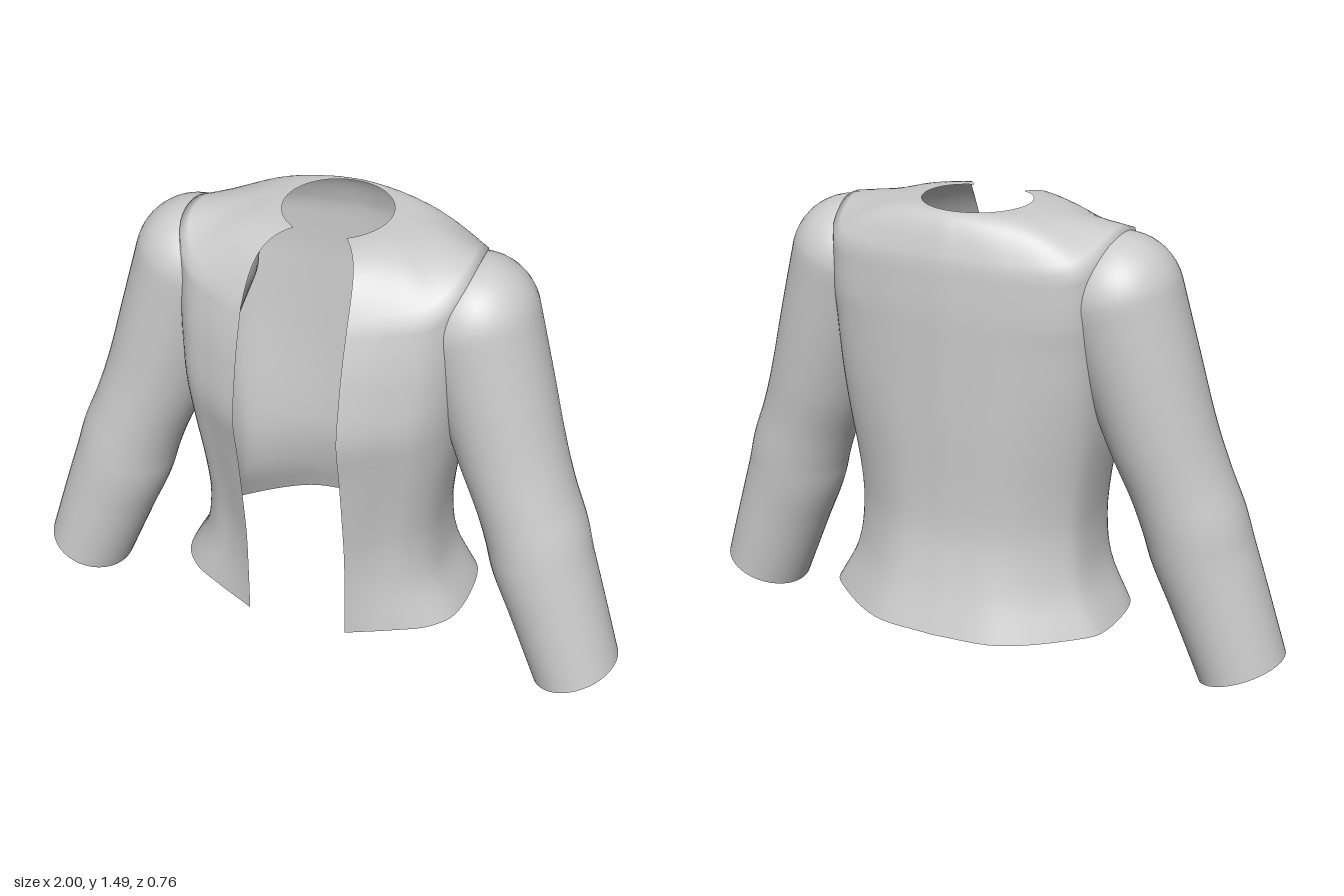
import * as THREE from 'three';
import { mergeVertices } from 'three/addons/utils/BufferGeometryUtils.js';

const V = (x, y, z) => new THREE.Vector3(x, y, z);
const cloth = new THREE.MeshStandardMaterial({ color: 0xcccccc, side: THREE.DoubleSide });

// Skin a grid of points: rows[j][i]
function skin(rows, name) {
  const n = rows[0].length, index = [];
  for (let j = 0; j < rows.length - 1; j++) {
    for (let i = 0; i < n - 1; i++) {
      const a = j * n + i, b = a + n;
      index.push(a, b, a + 1, a + 1, b, b + 1);
    }
  }
  let geo = new THREE.BufferGeometry().setFromPoints(rows.flat());
  geo.setIndex(index);
  geo = mergeVertices(geo, 1e-4);
  geo.computeVertexNormals();
  const mesh = new THREE.Mesh(geo, cloth);
  mesh.name = name;
  return mesh;
}

// Half outline seen from above, from back centre (u = 0) to front opening edge (u = 1)
function outline(w, b, f, k) {
  return new THREE.CatmullRomCurve3([
    V(0, 0, -b), V(0.46 * w, 0, -0.93 * b), V(0.87 * w, 0, -k * b), V(w, 0, -0.3 * b),
    V(w, 0, 0.27 * f), V(0.87 * w, 0, 0.6 * f), V(0.64 * w, 0, 0.8 * f), V(0.165, 0, f),
  ], false, 'catmullrom', 0.5);
}

function torso() {
  // height, half width, back depth, front depth, back squareness
  const sections = [
    [0.16, 0.475, 0.378, 0.3, 0.56], [0.3, 0.405, 0.33, 0.302, 0.58],
    [0.45, 0.385, 0.297, 0.307, 0.6], [0.6, 0.395, 0.293, 0.325, 0.62],
    [0.8, 0.425, 0.3, 0.355, 0.66], [0.95, 0.44, 0.304, 0.38, 0.7],
    [1.1, 0.45, 0.308, 0.357, 0.72], [1.2, 0.455, 0.31, 0.333, 0.74],
    [1.33, 0.455, 0.305, 0.298, 0.74],
  ].map(([y, w, b, f, k]) => ({ y, curve: outline(w, b, f, k) }));
  const last = sections.length - 1, N = 42, wallSteps = 32, roofSteps = 12;
  const rows = Array.from({ length: wallSteps + roofSteps + 1 }, () => []);

  for (let i = -N; i <= N; i++) {
    const u = Math.abs(i) / N, side = i < 0 ? -1 : 1;
    const shoulder = Math.exp(-(((u - 0.5) / 0.17) ** 2));
    const base = 1.345 - 0.04 * u;
    const rim = base + (1.435 - base) * shoulder;

    // Walls from hem to shoulder line
    const pts = sections.map(({ y, curve }, j) => {
      const p = curve.getPoint(u);
      p.y = j === last ? rim : j === 0 ? y - 0.015 * u ** 4 : y;
      return p;
    });
    const wall = new THREE.CatmullRomCurve3(pts, false, 'catmullrom', 0.5);
    const column = wall.getPoints(wallSteps);

    // Rounded yoke running in to the round neckline
    const ang = u * 2.62, neck = V(0.168 * Math.sin(ang), 1.488 - 0.008 * u ** 4, -0.055 - 0.168 * Math.cos(ang));
    const edge = pts[last];
    for (let j = 1; j <= roofSteps; j++) {
      const t = j / roofSteps, p = edge.clone().lerp(neck, t);
      p.x += 0.02 * u ** 8 * Math.sin(Math.PI * t);
      p.y = rim + (neck.y - rim) * (1 - (1 - t) ** (2.4 - 1.1 * shoulder));
      column.push(p);
    }
    column.forEach((p, j) => rows[j].push(V(p.x * side, p.y, p.z)));
  }
  return skin(rows, 'jacketBody');
}

function sleeve(side) {
  // Axis points with radius across and radius in depth
  const stations = [
    [0.455, 1.24, -0.022, 0.19, 0.198], [0.525, 1.02, -0.01, 0.18, 0.188],
    [0.597, 0.8, 0.005, 0.168, 0.176], [0.655, 0.65, 0.02, 0.16, 0.169],
    [0.7, 0.53, 0.03, 0.163, 0.168], [0.726, 0.44, 0.037, 0.163, 0.166],
    [0.778, 0.3, 0.045, 0.155, 0.16], [0.868, 0.05, 0.057, 0.1416, 0.153],
  ];
  const axis = new THREE.CatmullRomCurve3(stations.map(([x, y, z]) => V(x, y, z)));
  const radii = new THREE.CatmullRomCurve3(stations.map((s, i) => V(s[3], s[4], i * 0.1)), false, 'catmullrom', 0.5);
  const rows = [], M = 40;
  const ring = (c, d, rx, rz) => {
    const len = Math.hypot(d.x, d.y), nx = -d.y / len, ny = d.x / len;
    rows.push(Array.from({ length: M + 1 }, (_, i) => {
      const a = -side * (i % M) / M * Math.PI * 2, q = rx * Math.cos(a);
      return V(side * (c.x + nx * q), c.y + ny * q, c.z + rz * Math.sin(a));
    }));
  };

  // Domed shoulder cap
  const start = axis.getPoint(0), dir = V(0.3, -0.954, 0);
  for (let j = 0; j < 12; j++) {
    const a = j / 12 * Math.PI / 2;
    ring(start.clone().addScaledVector(dir, -0.19 * Math.cos(a)), dir, 0.19 * Math.sin(a), 0.198 * Math.sin(a));
  }
  // Arm tube, open at the cuff
  for (let j = 0; j <= 42; j++) {
    const t = j / 42, r = radii.getPoint(t);
    const d = j === 0 ? dir : j === 42 ? V(0.353, -0.935, 0) : axis.getTangent(t);
    ring(axis.getPoint(t), d, r.x, r.y);
  }
  return skin(rows, side > 0 ? 'leftSleeve' : 'rightSleeve');
}

export function createModel() {
  const group = new THREE.Group();
  group.name = 'openJacket';
  group.add(torso(), sleeve(1), sleeve(-1));
  return group;
}
